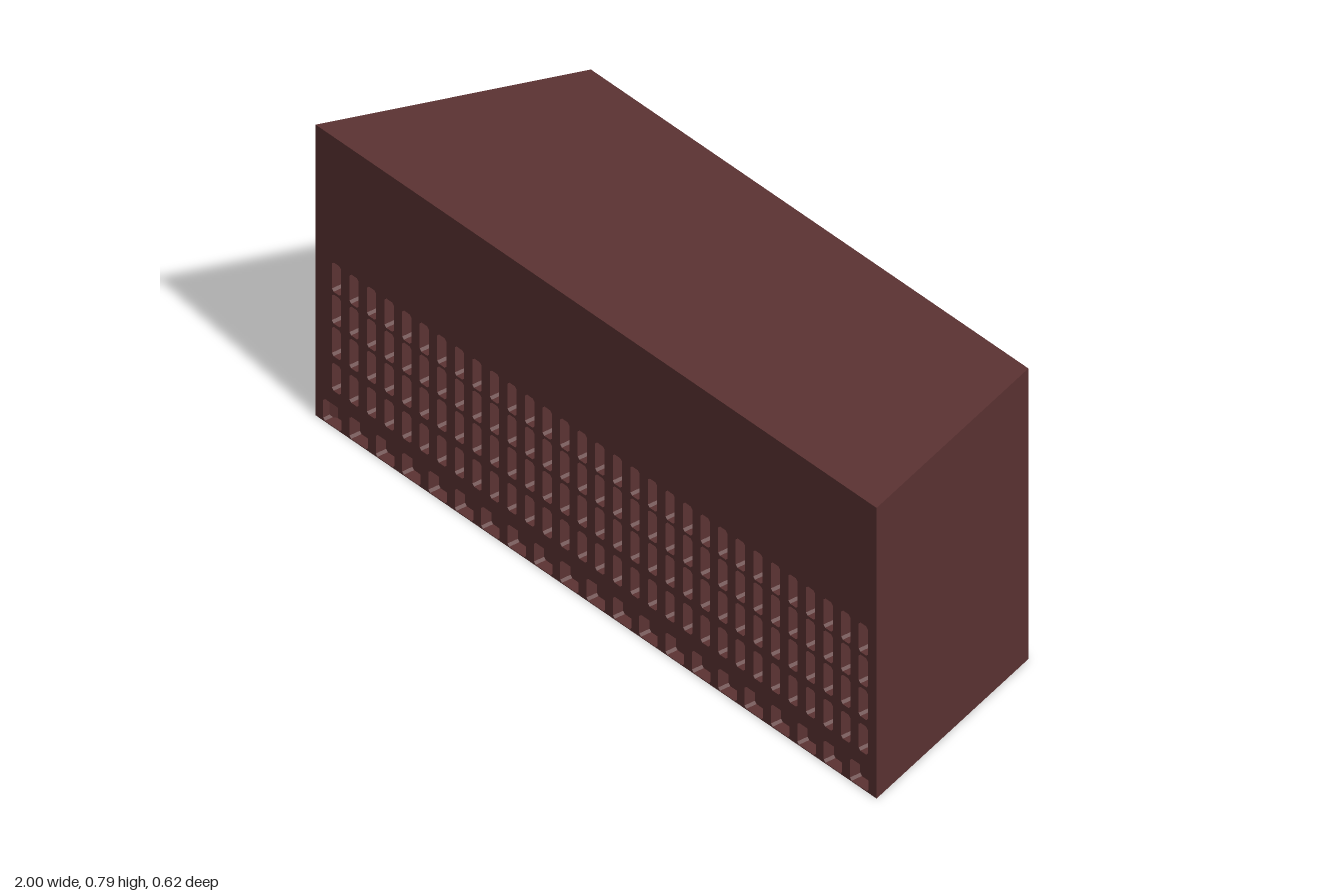
import * as THREE from 'three';

const HEIGHT = 0.79, DEPTH = 0.03;
// Plan corners as (x, z)
const A = [-1, 0.31], B = [1, 0.31], C = [0.78, -0.312], D = [-0.78, -0.312];

// Opening with small chamfered corners
function opening(x, y, w, h, c = 0.006) {
  const pts = [
    [x + c, y], [x + w - c, y], [x + w, y + c], [x + w, y + h - c],
    [x + w - c, y + h], [x + c, y + h], [x, y + h - c], [x, y + c],
  ];
  return new THREE.Path(pts.map(p => new THREE.Vector2(...p)));
}

// Pierced wall slab from P to Q; its inner edges are mitred by the two shifts
function wall(name, P, Q, startShift, endShift, holes, material) {
  const dx = Q[0] - P[0], dz = Q[1] - P[1], length = Math.hypot(dx, dz);
  const shape = new THREE.Shape();
  shape.moveTo(0, 0).lineTo(length, 0).lineTo(length, HEIGHT).lineTo(0, HEIGHT).closePath();
  shape.holes.push(...holes);
  const geo = new THREE.ExtrudeGeometry(shape, { depth: DEPTH, bevelEnabled: false });
  geo.translate(0, 0, -DEPTH);
  const pos = geo.attributes.position;
  for (let i = 0; i < pos.count; i++) {
    if (pos.getZ(i) > -DEPTH / 2) continue;
    const x = pos.getX(i);
    if (x < 1e-4) pos.setX(i, startShift);
    else if (x > length - 1e-4) pos.setX(i, length - endShift);
  }
  geo.computeVertexNormals();
  const mesh = new THREE.Mesh(geo, material);
  mesh.name = name;
  mesh.position.set(P[0], 0, P[1]);
  mesh.rotation.y = Math.atan2(-dz, dx);
  return mesh;
}

export function createModel() {
  const building = new THREE.Group();
  building.name = 'building';
  const brick = new THREE.MeshStandardMaterial({ color: 0x5c3333 });

  const angle = Math.atan2(0.622, 0.22);       // inner angle of the front corners
  const side = DEPTH / Math.tan(angle);        // shift along a plain neighbour
  const mitre = DEPTH / Math.tan(angle / 2);   // shift where two slabs meet

  // Front: four rows of windows above a row of ground openings
  const frontHoles = [];
  for (const [y, h] of [[0.369, 0.08], [0.283, 0.079], [0.194, 0.08], [0.1, 0.076]]) {
    for (let i = 0; i < 31; i++) frontHoles.push(opening(0.058 + i * 0.0626, y, 0.033, h));
  }
  for (let i = 0; i < 21; i++) frontHoles.push(opening(0.027 + i * 0.0939, 0.002, 0.066, 0.06));
  building.add(wall('frontWall', A, B, mitre, side, frontHoles, brick));

  // Slanted end: one large opening and a column of small ones
  const endHoles = [
    opening(0.277, 0.247, 0.218, 0.163, 0.001),
    ...[[0.52, 0.055], [0.435, 0.062], [0.275, 0.083], [0.115, 0.08]]
      .map(([y, h]) => opening(0.533, y, 0.075, h, 0.001)),
  ];
  building.add(wall('endWall', D, A, -side, mitre, endHoles, brick));

  // Solid core behind the two pierced walls
  const plan = [
    [A[0] + mitre, A[1] - DEPTH], [B[0] - side, B[1] - DEPTH], C,
    [D[0] + DEPTH / Math.sin(angle), D[1]],
  ];
  const coreGeo = new THREE.ExtrudeGeometry(
    new THREE.Shape(plan.map(([x, z]) => new THREE.Vector2(x, -z))),
    { depth: HEIGHT, bevelEnabled: false });
  coreGeo.rotateX(-Math.PI / 2);
  const core = new THREE.Mesh(coreGeo, brick);
  core.name = 'core';
  building.add(core);

  return building;
}
